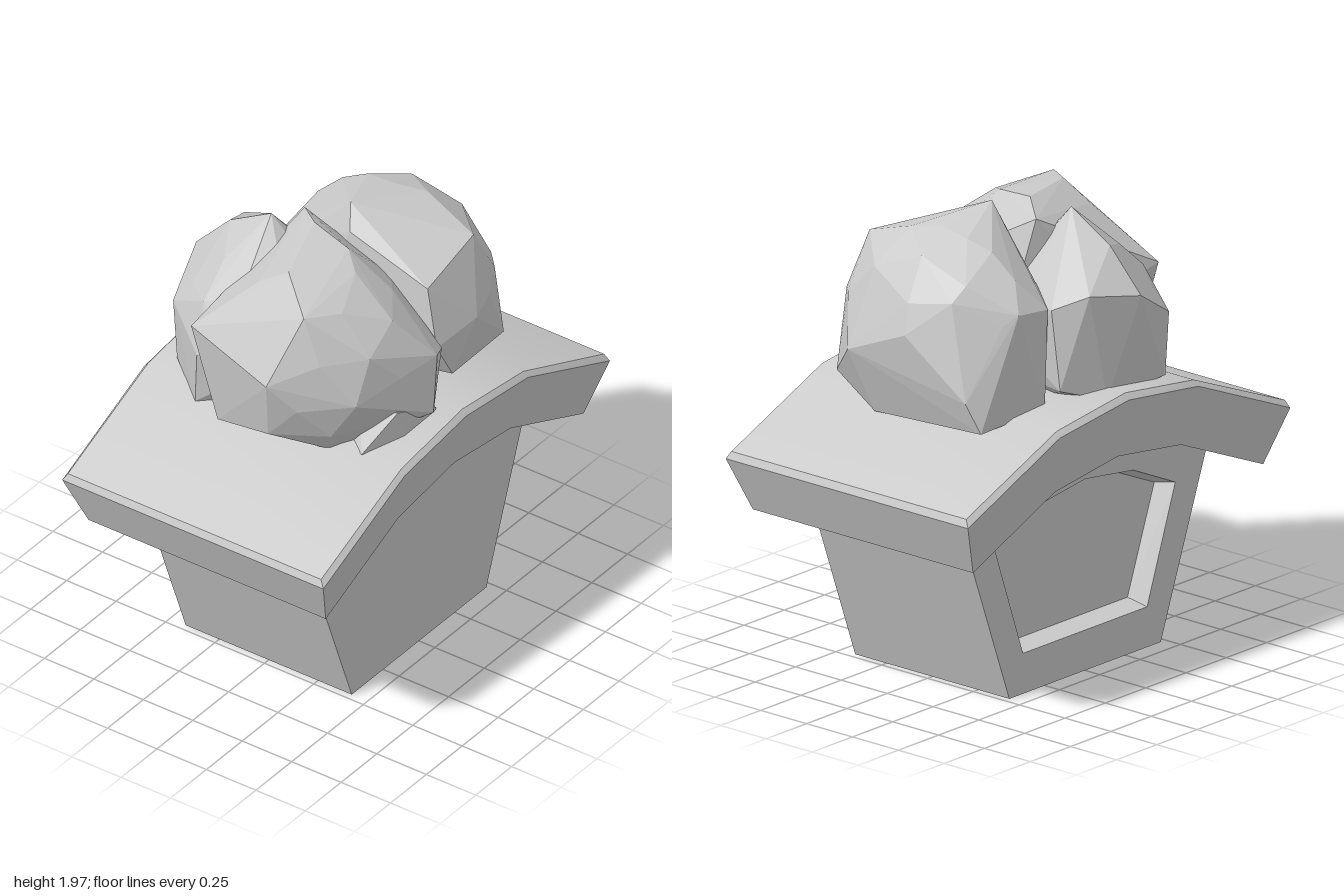
import * as THREE from 'three';
import { toCreasedNormals } from 'three/addons/utils/BufferGeometryUtils.js';
import { ConvexGeometry } from 'three/addons/geometries/ConvexGeometry.js';

const grey = new THREE.MeshStandardMaterial({ color: 0xcccccc, flatShading: true });
const greySmooth = new THREE.MeshStandardMaterial({ color: 0xcccccc });
const greyShell = new THREE.MeshStandardMaterial({ color: 0xcccccc, flatShading: true, side: THREE.DoubleSide });

function part(name, geometry, material) {
  const mesh = new THREE.Mesh(geometry, material);
  mesh.name = name;
  return mesh;
}

function quadGeometry(quads) {
  const g = new THREE.BufferGeometry();
  const pos = quads.flatMap(([a, b, c, d]) => [a, b, c, a, c, d].flat());
  g.setAttribute('position', new THREE.Float32BufferAttribute(pos, 3));
  g.computeVertexNormals();
  return g;
}

// Closed outline symmetric in x, from its right half (bottom first, last point on the axis)
function mirrored(half) {
  const left = half.slice(0, -1).reverse().map(([x, y]) => [-x, y]);
  return [...half, ...left].map(([x, y]) => new THREE.Vector2(x, y));
}

const BACK = -0.42, FRONT = 0.42, PANEL = -0.33;
const bodyOutline = mirrored([[0.47, 0], [0.765, 0.8], [0.39, 0.95], [0, 1.0]]);
const opening = mirrored([[0.385, 0.175], [0.56, 0.67], [0.3, 0.79], [0, 0.83]]);
const panelOutline = opening.map(o => new THREE.Vector2(o.x * 0.95, 0.5 + (o.y - 0.5) * 0.92));

// Hollow body, open at the bottom, with a recessed panel in the back
function buildBody() {
  const body = new THREE.Group();
  body.name = 'body';
  const flat = (shape, z) => new THREE.ShapeGeometry(shape).translate(0, 0, z);
  const wall = (a, za, b, zb, i) => {
    const n = (i + 1) % a.length;
    return [[a[i].x, a[i].y, za], [b[i].x, b[i].y, zb], [b[n].x, b[n].y, zb], [a[n].x, a[n].y, za]];
  };
  const backShape = new THREE.Shape(bodyOutline);
  backShape.holes.push(new THREE.Path(opening));
  const last = bodyOutline.length - 2; // right and left walls only
  body.add(
    part('frontWall', flat(new THREE.Shape(bodyOutline), FRONT), greyShell),
    part('backWall', flat(backShape, BACK), greyShell),
    part('sideWalls', quadGeometry([0, last].map(i => wall(bodyOutline, BACK, bodyOutline, FRONT, i))), greyShell),
    part('recessRim', quadGeometry(opening.map((_, i) => wall(opening, BACK, panelOutline, PANEL, i))), greyShell),
    part('recessPanel', flat(new THREE.Shape(panelOutline), PANEL), greyShell),
  );
  return body;
}

// Arched slab: a six-sided section swept over five stations from -x to +x
function slabGeometry() {
  const layers = [ // half depth, then [x, y] at eave, shoulder and ridge
    { z: 0.6, pts: [[0.9, 0.7], [0.39, 0.918], [0, 0.97]] },
    { z: 0.66, pts: [[1, 0.932], [0.43, 1.175], [0, 1.228]] },
    { z: 0.64, pts: [[0.988, 0.965], [0.425, 1.2], [0, 1.255]] },
  ];
  const station = i => {
    const k = 2 - Math.abs(i - 2), s = Math.sign(i - 2);
    const row = side => layers.map(l => [s * l.pts[k][0], l.pts[k][1], side * l.z]);
    return [...row(1), ...row(-1).reverse()];
  };
  const quads = [];
  for (let i = 0; i < 4; i++) {
    const a = station(i), b = station(i + 1);
    for (let j = 0; j < 6; j++) {
      const n = (j + 1) % 6;
      quads.push([a[j], b[j], b[n], a[n]]);
    }
  }
  // eave ends
  const l = station(0), r = station(4);
  for (const j of [0, 1]) {
    quads.push([l[j], l[j + 1], l[4 - j], l[5 - j]], [r[j], r[5 - j], r[4 - j], r[j + 1]]);
  }
  return toCreasedNormals(quadGeometry(quads), 0.4);
}

// Faceted boulder: hull of a low-poly ellipsoid and a few jutting corners
function boulderGeometry({ centre, radii, turn, corners, detail = 1 }) {
  const ball = new THREE.IcosahedronGeometry(1, detail)
    .rotateX(turn).rotateY(turn * 2)
    .scale(...radii).translate(...centre);
  const p = ball.attributes.position;
  const unique = new Map();
  for (let i = 0; i < p.count; i++) {
    const v = new THREE.Vector3().fromBufferAttribute(p, i);
    unique.set(v.toArray().map(n => n.toFixed(4)).join(), v);
  }
  return new ConvexGeometry([...unique.values(), ...corners.map(c => new THREE.Vector3(...c))]);
}

const boulders = {
  leftBoulder: {
    centre: [0.345, 1.53, 0.04], radii: [0.345, 0.4, 0.45], turn: 0.35,
    corners: [[0.1, 1.97, 0], [0.37, 1.92, 0.02], [0.38, 1.82, 0.42], [0.06, 1.73, 0.42],
      [0.5, 1.6, 0.44], [0.04, 1.47, 0.48], [0.28, 1.5, 0.51], [0.15, 1.28, 0.48],
      [0.55, 1.25, 0.45], [0.6, 1.14, 0.2], [0.4, 1.13, 0], [0.61, 1.73, 0.1],
      [0.7, 1.55, -0.05], [0.7, 1.42, 0.26], [0.6, 1.7, -0.22], [0.35, 1.86, -0.22],
      [0.64, 1.3, -0.33], [0.6, 1.17, -0.38], [0.4, 1.64, -0.41], [0.22, 1.62, -0.41],
      [0.25, 1.2, -0.42], [0.03, 1.88, 0.05], [0.04, 1.5, -0.1]],
  },
  rightBoulder: {
    centre: [-0.29, 1.52, 0.12], radii: [0.37, 0.4, 0.41], turn: 0.8,
    corners: [[-0.57, 1.87, 0.25], [-0.71, 1.57, 0.16], [-0.64, 1.28, 0.12], [-0.57, 1.6, -0.32],
      [-0.12, 1.925, 0.15], [-0.08, 1.95, -0.05], [-0.4, 1.925, 0.05], [0.03, 1.91, -0.18],
      [0.08, 1.7, -0.15], [-0.08, 1.54, 0.57], [-0.12, 1.28, 0.58], [0.02, 1.5, 0.52],
      [0.03, 1.25, 0.48], [0.1, 1.7, 0.2], [-0.3, 1.4, 0.52], [-0.53, 1.45, 0.37],
      [-0.55, 1.17, -0.2], [-0.45, 1.17, 0.3]],
  },
  backBoulder: {
    centre: [-0.15, 1.45, -0.25], radii: [0.36, 0.36, 0.32], turn: 1.3,
    corners: [[-0.12, 1.94, -0.24], [-0.12, 1.82, -0.45], [-0.12, 1.64, -0.62], [0.12, 1.68, -0.55],
      [0.22, 1.62, -0.43], [0.2, 1.27, -0.46], [-0.35, 1.5, -0.57], [-0.53, 1.43, -0.32],
      [0, 1.2, -0.54], [-0.35, 1.22, -0.55], [-0.5, 1.17, -0.35]],
  },
  smallStone: {
    centre: [-0.2, 1.14, 0.37], radii: [0.21, 0.18, 0.17], turn: 0.5, detail: 0,
    corners: [[-0.3, 1.36, 0.53], [-0.44, 1.2, 0.45], [-0.06, 1.26, 0.55],
      [-0.08, 0.935, 0.46], [-0.16, 0.965, 0.46], [0, 0.965, 0.46]],
  },
};

export function createModel() {
  const model = new THREE.Group();
  model.name = 'boulderPedestal';
  model.add(buildBody(), part('archedSlab', slabGeometry(), greySmooth));
  for (const [name, spec] of Object.entries(boulders)) model.add(part(name, boulderGeometry(spec), grey));
  return model;
}
